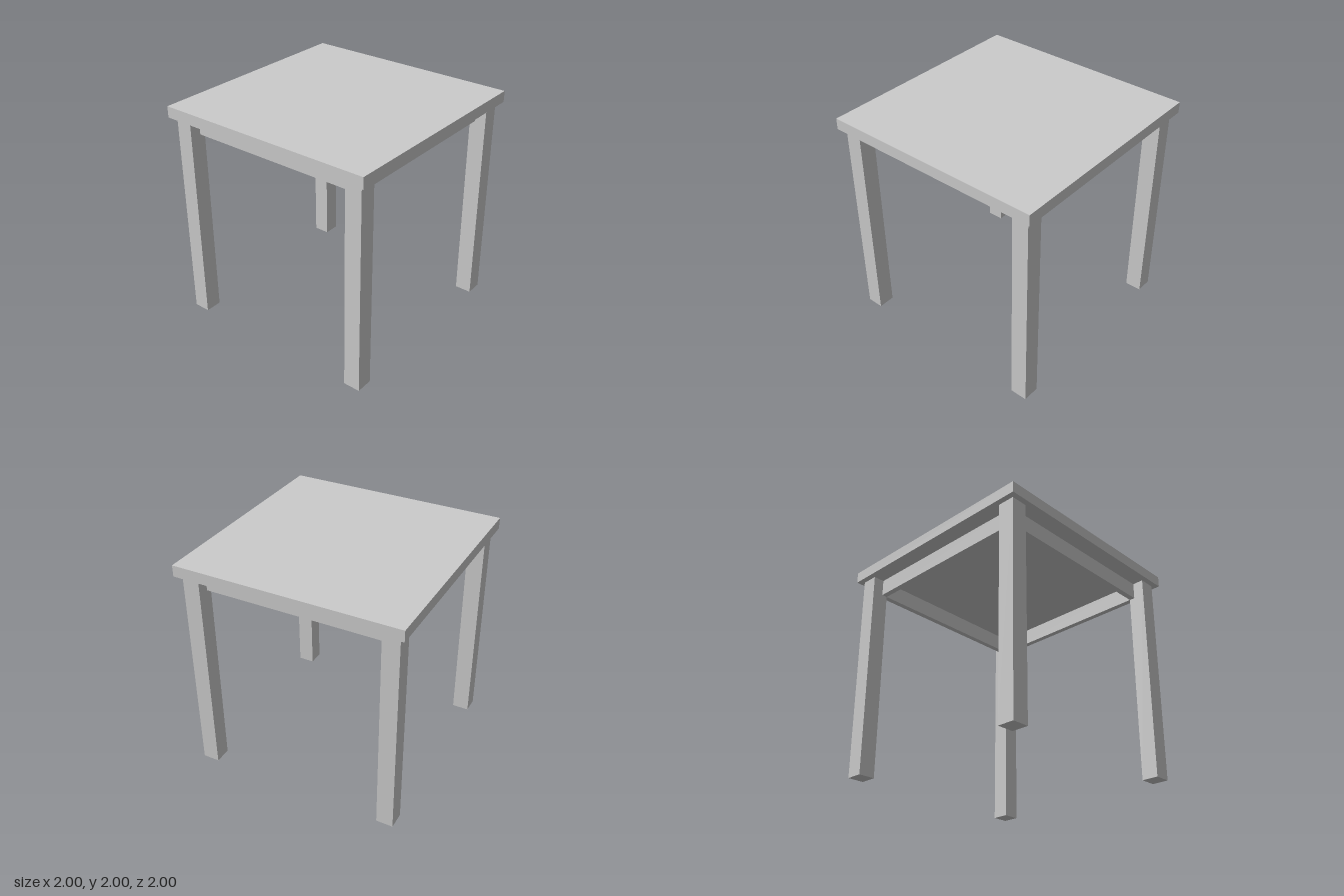
import * as THREE from 'three';

const material = new THREE.MeshStandardMaterial({ color: 0xcccccc });

function box(name, w, h, d, x, y, z) {
  const mesh = new THREE.Mesh(new THREE.BoxGeometry(w, h, d), material);
  mesh.name = name;
  mesh.position.set(x, y, z);
  return mesh;
}

export function createModel() {
  const table = new THREE.Group();
  table.name = 'table';

  const topThickness = 0.1;
  const legHeight = 2 - topThickness;
  const legWidth = 0.15;
  const legInner = 0.8; // inner leg faces, also the apron ends
  const apronHeight = 0.15;
  const apronThickness = 0.05;

  // Square slab top
  table.add(box('tabletop', 2, topThickness, 2, 0, legHeight + topThickness / 2, 0));

  // Four square legs, set in slightly from the edge
  const legCentre = legInner + legWidth / 2;
  for (const [zName, sz] of [['front', 1], ['back', -1]]) {
    for (const [xName, sx] of [['Left', 1], ['Right', -1]]) {
      table.add(box(`${zName}${xName}Leg`, legWidth, legHeight, legWidth,
        sx * legCentre, legHeight / 2, sz * legCentre));
    }
  }

  // Apron rails between the legs, flush with their inner faces
  const apronY = legHeight - apronHeight / 2;
  const apronCentre = legInner + apronThickness / 2;
  ['frontApron', 'leftApron', 'backApron', 'rightApron'].forEach((name, i) => {
    const angle = (i * Math.PI) / 2;
    const rail = box(name, legInner * 2, apronHeight, apronThickness,
      Math.sin(angle) * apronCentre, apronY, Math.cos(angle) * apronCentre);
    rail.rotation.y = angle;
    table.add(rail);
  });

  return table;
}
